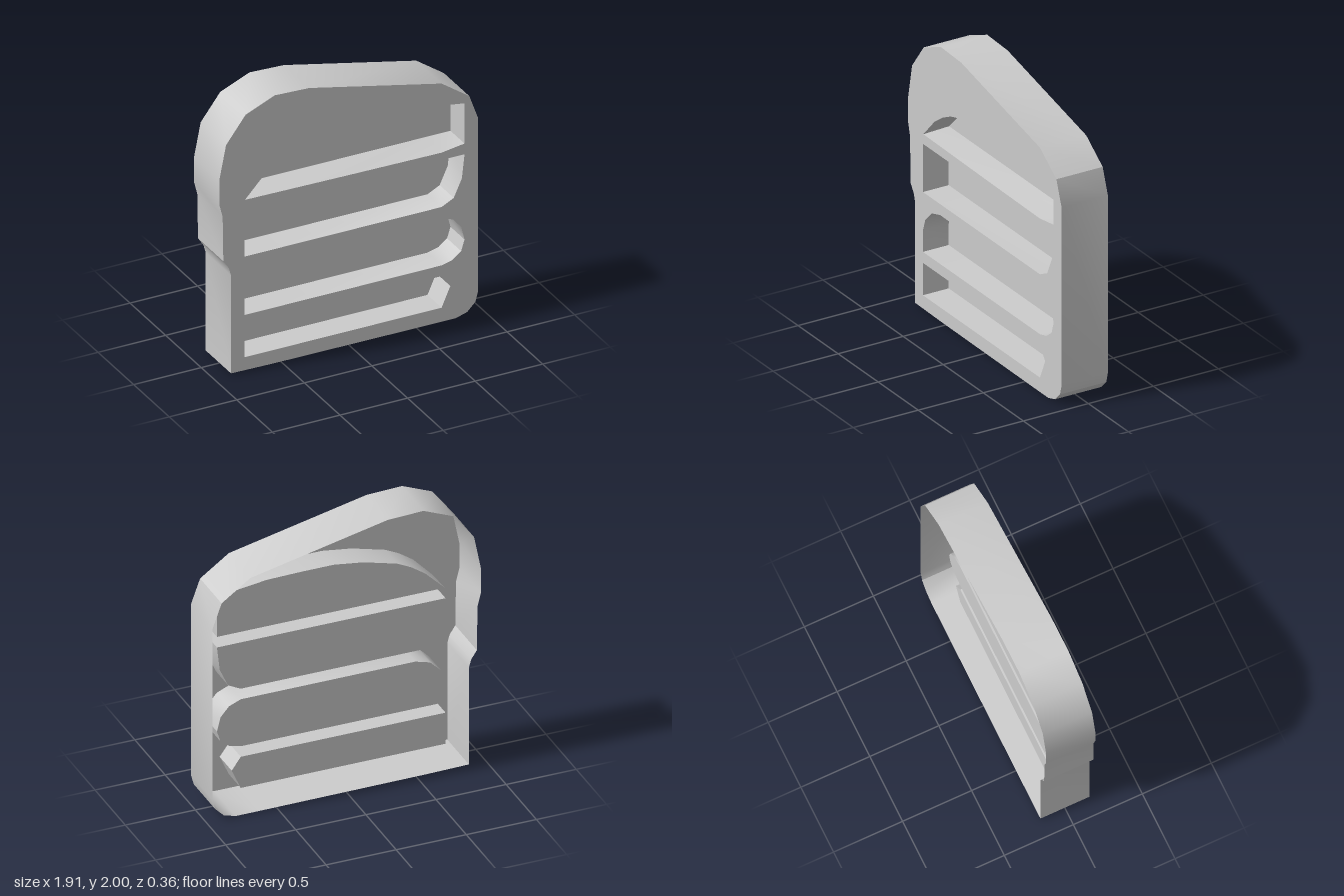
import * as THREE from 'three';
import { toCreasedNormals } from 'three/addons/utils/BufferGeometryUtils.js';

const FRONT = 0.178, BACK = -0.178, FLOOR = -0.02;
const material = new THREE.MeshStandardMaterial({ color: 0xcccccc, side: THREE.DoubleSide });
const toPoints = (list) => list.map(([x, y]) => new THREE.Vector2(x, y));

// Band joining a counter-clockwise loop at z0 to a matching loop at z1
function band(loop0, z0, loop1, z1) {
  const pos = [];
  loop0.forEach((a, i) => {
    const j = (i + 1) % loop0.length;
    const b = loop0[j], c = loop1[j], d = loop1[i];
    pos.push(a[0], a[1], z0, b[0], b[1], z0, c[0], c[1], z1);
    pos.push(a[0], a[1], z0, c[0], c[1], z1, d[0], d[1], z1);
  });
  const geo = new THREE.BufferGeometry();
  geo.setAttribute('position', new THREE.Float32BufferAttribute(pos, 3));
  return toCreasedNormals(geo, 0.5245);
}

function plate(loop, z, holes = []) {
  const shape = new THREE.Shape(toPoints(loop));
  holes.forEach((h) => shape.holes.push(new THREE.Path(toPoints(h))));
  return new THREE.ShapeGeometry(shape).translate(0, 0, z);
}

export function createModel() {
  const model = new THREE.Group();
  model.name = 'recessedShell';
  const add = (parent, name, geo) => {
    const mesh = new THREE.Mesh(geo, material);
    mesh.name = name;
    parent.add(mesh);
  };

  const outline = [
    [-0.873, 0.01], [-0.56, 0.005], [0.63, 0], [0.79, 0], [0.875, 0.025], [0.935, 0.085],
    [0.955, 0.16], [0.955, 1.45], [0.89, 1.63], [0.685, 1.775], [-0.295, 1.99], [-0.55, 2],
    [-0.765, 1.91], [-0.91, 1.72], [-0.96, 1.47], [-0.96, 1.29], [-0.935, 1.19],
    [-0.93, 0.86], [-0.89, 0.8], [-0.873, 0.74],
  ];

  const pockets = {
    archedPocket: [
      [-0.77, 1.277], [0, 1.267], [0.685, 1.26], [0.855, 1.285], [0.855, 1.585], [0.69, 1.61],
      [0.5, 1.635], [0.25, 1.64], [0.02, 1.64], [-0.19, 1.61], [-0.43, 1.545], [-0.53, 1.495],
      [-0.63, 1.425],
    ],
    upperPocket: [
      [-0.775, 0.855], [0.685, 0.855], [0.775, 0.9], [0.835, 1.03], [0.855, 1.205], [-0.775, 1.205],
    ],
    middlePocket: [
      [-0.775, 0.42], [0.685, 0.42], [0.765, 0.44], [0.83, 0.49], [0.855, 0.57], [0.83, 0.67],
      [0.77, 0.74], [0.685, 0.775], [-0.56, 0.775], [-0.665, 0.745], [-0.745, 0.665], [-0.775, 0.575],
    ],
    lowerPocket: [
      [-0.775, 0.105], [0.685, 0.105], [0.75, 0.25], [0.685, 0.34], [-0.775, 0.34],
    ],
  };

  // Shell, open at the back
  add(model, 'outerWall', band(outline, BACK, outline, FRONT));
  add(model, 'frontPlate', plate(outline, FRONT, Object.values(pockets)));

  // Pockets sunk into the front plate
  for (const [name, lip] of Object.entries(pockets)) {
    const pocket = new THREE.Group();
    pocket.name = name;
    // The arched pocket's ledge rises to a straight line at the floor
    const floor = name === 'archedPocket' ? lip.map(([x, y]) => [x, Math.max(y, 1.285)]) : lip;
    add(pocket, 'pocketWall', band(lip, FRONT, floor, FLOOR));
    add(pocket, 'pocketFloor', plate(floor, FLOOR));
    model.add(pocket);
  }
  return model;
}
